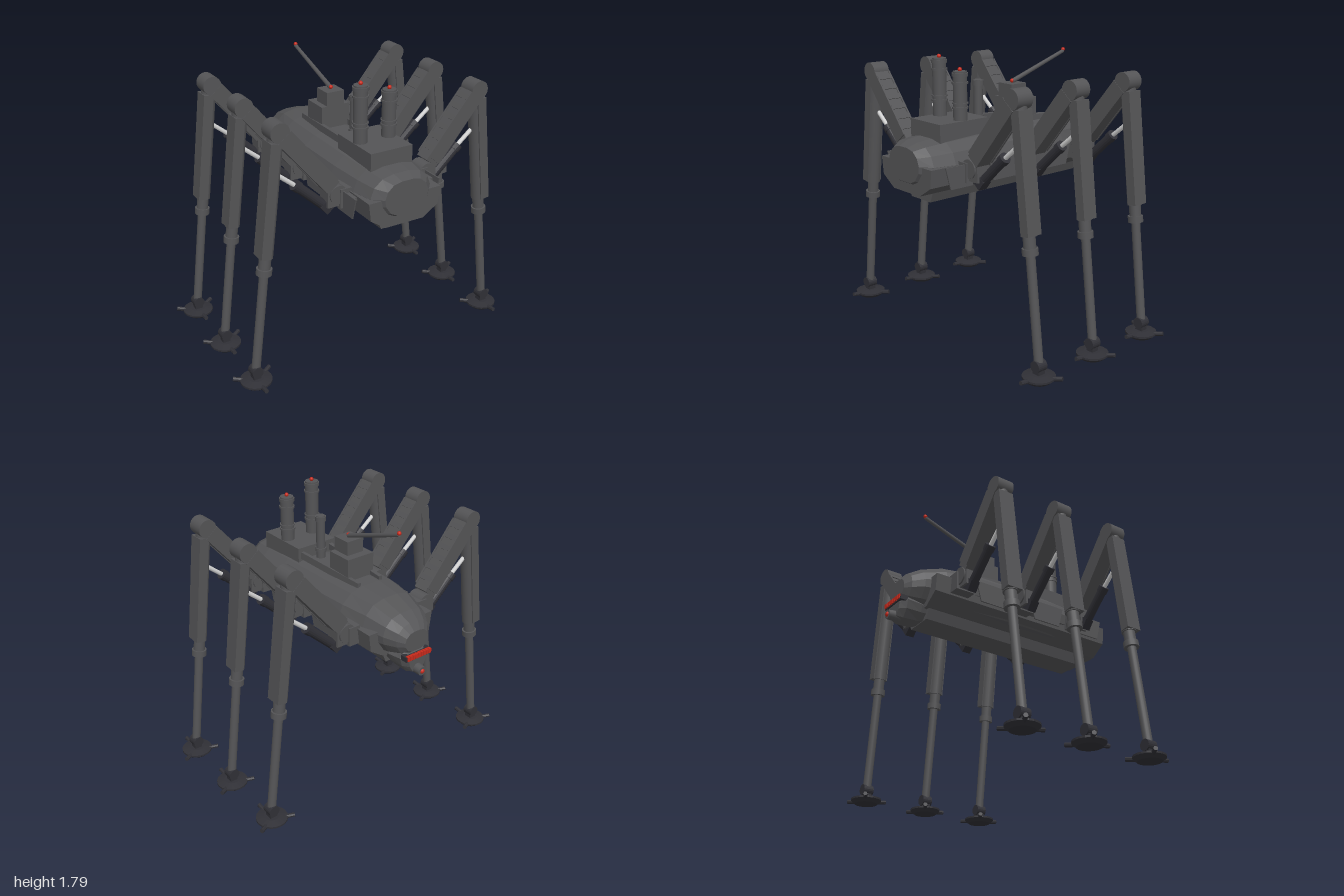
import * as THREE from 'three';

const mat = (name, color, extra = {}) => {
  const m = new THREE.MeshStandardMaterial({ color, ...extra });
  m.name = name;
  return m;
};

export function createModel() {
  const root = new THREE.Group();
  root.name = 'sixLeggedWalker';
  const steel = mat('steelGrey', 0x545456, { flatShading: true });
  const smoothSteel = mat('smoothSteelGrey', 0x545456);
  const dark = mat('darkIron', 0x303036, { flatShading: true });
  const chrome = mat('paleRod', 0xd0d0d0);
  const red = mat('redLamp', 0xc82a1c);

  const add = (parent, name, geo, material, x = 0, y = 0, z = 0) => {
    const m = new THREE.Mesh(geo, material);
    m.name = name;
    m.position.set(x, y, z);
    parent.add(m);
    return m;
  };
  // box given by its min and max corners
  const box = (parent, name, a, b, material = steel) => add(parent, name,
    new THREE.BoxGeometry(b[0] - a[0], b[1] - a[1], b[2] - a[2]), material,
    (a[0] + b[0]) / 2, (a[1] + b[1]) / 2, (a[2] + b[2]) / 2);
  // bar or tube between two points
  const Y = new THREE.Vector3(0, 1, 0);
  const span = (parent, name, a, b, makeGeo, material) => {
    const A = new THREE.Vector3(...a), B = new THREE.Vector3(...b);
    const d = B.clone().sub(A);
    const m = add(parent, name, makeGeo(d.length()), material);
    m.position.copy(A).lerp(B, 0.5);
    m.quaternion.setFromUnitVectors(Y, d.normalize());
    return m;
  };
  const tube = (r, r2 = r, n = 16) => (h) => new THREE.CylinderGeometry(r2, r, h, n);
  const bar = (w, d) => (h) => new THREE.BoxGeometry(w, h, d);
  const ball = (parent, name, r, x, y, z) =>
    add(parent, name, new THREE.SphereGeometry(r, 12, 8), red, x, y, z);

  // capped loft along z; stations: [z, halfWidth, bottom, top], section in -1..1 counter-clockwise
  const loft = (stations, section) => {
    const pos = [], idx = [], n = section.length;
    for (const [z, w, lo, hi] of stations)
      for (const [u, v] of section) pos.push(u * w, (lo + hi) / 2 + v * (hi - lo) / 2, z);
    for (let i = 0; i < stations.length - 1; i++)
      for (let j = 0; j < n; j++) {
        const a = i * n + j, b = i * n + (j + 1) % n;
        idx.push(a, a + n, b, b, a + n, b + n);
      }
    const last = (stations.length - 1) * n;
    for (let j = 1; j < n - 1; j++) {
      idx.push(0, j, j + 1);
      idx.push(last, last + j + 1, last + j);
    }
    const g = new THREE.BufferGeometry();
    g.setAttribute('position', new THREE.Float32BufferAttribute(pos, 3));
    g.setIndex(idx);
    g.computeVertexNormals();
    return g;
  };
  const mirrored = (half) => [...half, ...half.slice().reverse().map(([u, v]) => [-u, v])];

  // Hull
  const hullSection = mirrored([[0.42, -1], [0.72, -0.8], [0.96, -0.3], [1, 0.1], [0.88, 0.55], [0.62, 0.88], [0.25, 1]]);
  add(root, 'hull', loft([
    [0.785, 0.15, 1.07, 1.28], [0.72, 0.21, 1.03, 1.305], [0.58, 0.24, 1.01, 1.32], [0.35, 0.26, 1, 1.33],
    [0, 0.265, 1, 1.335], [-0.3, 0.252, 1, 1.335], [-0.48, 0.215, 1, 1.32], [-0.62, 0.175, 1.02, 1.275],
    [-0.69, 0.13, 1.035, 1.235], [-0.725, 0.09, 1.06, 1.19],
  ], hullSection), steel);

  // Lower trough around the hull, and keel
  add(root, 'lowerHull', loft([[0.77, 0.25, 1, 1.18], [-0.585, 0.25, 1, 1.18]],
    mirrored([[0.52, -1], [0.94, -0.25], [1, 1]])), steel);
  add(root, 'keel', loft([[0.665, 0.125, 0.935, 1.01], [-0.56, 0.125, 0.935, 1.01]],
    mirrored([[0.75, -1], [1, 1]])), steel);

  // Hanging side plates
  for (const s of [-1, 1])
    for (const [z0, z1] of [[-0.32, -0.07], [0.1, 0.37], [0.465, 0.7]]) {
      const shape = new THREE.Shape([[z0, 1.19], [z1, 1.19], [z1 - 0.035, 1.055], [z0 + 0.035, 1.055]]
        .map(([z, y]) => new THREE.Vector2(-z, y)));
      const geo = new THREE.ExtrudeGeometry(shape, { depth: 0.008, bevelEnabled: false });
      const plate = add(root, 'sidePlate', geo, steel, s * 0.292 - 0.004);
      plate.rotation.y = Math.PI / 2;
      box(root, 'plateBracket', [s * 0.27 - 0.025, 1.15, z0 + 0.06], [s * 0.27 + 0.025, 1.17, z1 - 0.06]);
    }

  // Tail pod with lamp strip and nozzle
  add(root, 'tailPod', loft([[-0.49, 0.085, 0.965, 1.01], [-0.6, 0.11, 0.925, 1.05], [-0.7, 0.105, 0.92, 1.065],
    [-0.74, 0.07, 0.93, 1.04]], mirrored([[0.5, -1], [0.85, -0.3], [1, 0.45], [0.7, 1]])), steel);
  span(root, 'tailNozzle', [0, 0.945, -0.7], [0, 0.94, -0.785], tube(0.036, 0.03), smoothSteel);
  ball(root, 'tailLamp', 0.018, 0, 0.94, -0.778);
  box(root, 'lampHousing', [-0.1, 1.018, -0.75], [0.1, 1.05, -0.7], dark);
  for (let i = -4; i <= 4; i++)
    box(root, 'stripLamp', [i * 0.021 - 0.009, 1.024, -0.757], [i * 0.021 + 0.009, 1.053, -0.735], red);

  // Deck house, rear turret and deck rails
  box(root, 'deckHouse', [-0.145, 1.28, 0.25], [0.145, 1.41, 0.62]);
  box(root, 'turretBase', [-0.1, 1.28, -0.2], [0.1, 1.48, -0.02]);
  box(root, 'turretTop', [-0.062, 1.48, -0.147], [0.062, 1.57, -0.02]);
  for (const s of [-1, 1])
    span(root, 'deckRail', [s * 0.115, 1.36, 0.26], [s * 0.085, 1.335, -0.29], bar(0.025, 0.045), steel);

  // Funnels
  const funnel = (name, x, z, r, top, bands) => {
    const g = new THREE.Group();
    g.name = name;
    root.add(g);
    span(g, 'pipe', [x, 1.3, z], [x, top, z], tube(r, r, 20), smoothSteel);
    for (const [y, h] of bands)
      span(g, 'band', [x, y, z], [x, y + h, z], tube(r + 0.007, r + 0.007, 20), smoothSteel);
  };
  funnel('tallFunnel', -0.1, 0.43, 0.043, 1.765, [[1.735, 0.02], [1.69, 0.012], [1.5, 0.012], [1.53, 0.008]]);
  funnel('shortFunnel', 0.1, 0.43, 0.043, 1.705, [[1.675, 0.02], [1.63, 0.012], [1.48, 0.012], [1.51, 0.008]]);
  funnel('centreFunnel', 0, 0.205, 0.029, 1.62, [[1.585, 0.03], [1.38, 0.02]]);
  ball(root, 'funnelLamp', 0.013, -0.1, 1.775, 0.43);
  ball(root, 'funnelLamp', 0.013, 0.1, 1.715, 0.43);

  // Gun boom
  span(root, 'boom', [0, 1.578, -0.08], [0, 1.735, -0.54], tube(0.015, 0.012, 10), smoothSteel);
  ball(root, 'boomLamp', 0.013, 0, 1.583, -0.08);
  ball(root, 'boomLamp', 0.013, 0, 1.745, -0.54);

  // Legs
  const legX = (y) => 0.685 + (1.625 - y) * 0.121;
  const buildLeg = (s, z) => {
    const leg = new THREE.Group();
    leg.name = s > 0 ? 'leftLeg' : 'rightLeg';
    leg.position.z = z;
    root.add(leg);
    const p = (x, y, dz = 0) => [s * x, y, dz];
    const on = (y, out = 0) => p(legX(y) + out, y + out * 0.12);
    const axle = (name, x, y, r, h, m = smoothSteel) => span(leg, name, p(x, y, -h), p(x, y, h), tube(r, r, 20), m);

    // hip
    span(leg, 'hipMount', p(0.23, 1.14), p(0.31, 1.14), bar(0.12, 0.13), steel);
    axle('hipJoint', 0.315, 1.165, 0.058, 0.055);
    span(leg, 'hipLink', p(0.3, 1.15), p(0.385, 1.15), bar(0.12, 0.09), steel);

    // thigh with rungs on its upper face
    const a = [0.345, 1.215], b = [0.685, 1.625];
    span(leg, 'thigh', p(...a), p(...b), bar(0.095, 0.1), steel);
    for (let i = 0; i < 6; i++) {
      const t = 0.12 + i * 0.14;
      const x = a[0] + (b[0] - a[0]) * t, y = a[1] + (b[1] - a[1]) * t;
      span(leg, 'thighRung', p(x - 0.037, y + 0.03), p(x - 0.037 + 0.022, y + 0.03 + 0.027), bar(0.012, 0.1), steel);
    }
    for (const dz of [-0.052, 0.052])
      span(leg, 'thighRail', p(0.36, 1.235, dz), p(0.66, 1.595, dz), bar(0.105, 0.012), steel);
    axle('knee', 0.685, 1.625, 0.06, 0.056);

    // piston
    span(leg, 'pistonMount', p(0.345, 1.115), p(0.4, 1.07), bar(0.07, 0.06), dark);
    span(leg, 'pistonSleeve', p(0.375, 1.085), p(0.57, 1.265), tube(0.03), dark);
    span(leg, 'pistonCollar', p(0.55, 1.247), p(0.58, 1.274), tube(0.035), dark);
    span(leg, 'pistonRod', p(0.565, 1.26), p(0.7, 1.37), tube(0.014, 0.014, 10), chrome);

    // shin: armoured upper part, collar, thin lower tube
    span(leg, 'upperShin', on(0.86), on(1.6), tube(0.046), smoothSteel);
    span(leg, 'shinPlate', on(0.865, 0.018), on(1.565, 0.018), bar(0.062, 0.104), steel);
    span(leg, 'midShin', on(0.77), on(0.88), tube(0.037), smoothSteel);
    span(leg, 'shinCollar', on(0.75), on(0.79), tube(0.048), smoothSteel);
    span(leg, 'lowerShin', on(0.09), on(0.76), tube(0.028), smoothSteel);

    // foot
    axle('ankle', 0.87, 0.095, 0.036, 0.034, dark);
    span(leg, 'footStem', p(0.87, 0.03), p(0.87, 0.09), bar(0.05, 0.05), dark);
    add(leg, 'foot', new THREE.LatheGeometry([[0, 0], [0.075, 0], [0.1, 0.022], [0.1, 0.034], [0.05, 0.045], [0, 0.045]]
      .map(([x, y]) => new THREE.Vector2(x, y)), 20), dark, s * 0.87);
    for (let i = 0; i < 3; i++) {
      const t = i * Math.PI * 2 / 3, dx = Math.sin(t), dz = Math.cos(t);
      span(leg, 'toe', [s * 0.87 + dx * 0.06, 0.022, dz * 0.06], [s * 0.87 + dx * 0.143, 0.033, dz * 0.143],
        tube(0.014, 0.014, 8), dark);
    }
  };
  for (const s of [-1, 1]) for (const z of [0.495, 0.043, -0.413]) buildLeg(s, z);

  return root;
}
